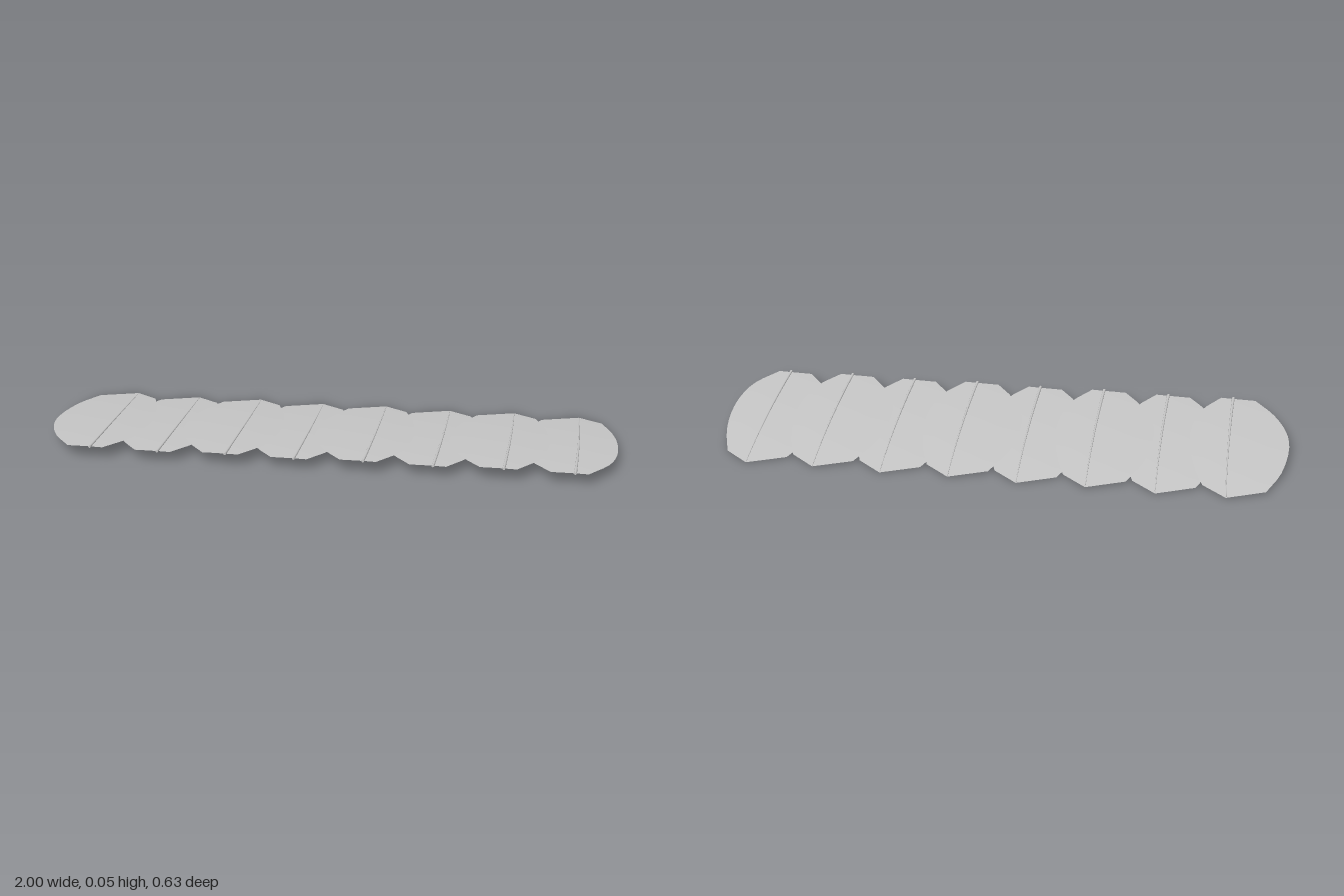
import * as THREE from 'three';

const COUNT = 8;

// Gentle fall of the row from front to back
const ridgeY = z => 0.033 + 0.06 * z - 0.067 * z * z;
// Slight sideways bend of the quill
const ridgeX = z => -0.022 * Math.pow(Math.max(0, (z + 0.317) / 0.617), 1.8);

// Vane edges as [x from the tip, z], back to front
const leftEdge = [[-0.134, -0.27], [-0.187, -0.158], [-0.217, 0], [-0.207, 0.1], [-0.167, 0.2], [-0.102, 0.29]];
const rightEdge = [[0.08, -0.255], [0.114, -0.135], [0.128, -0.02], [0.122, 0.1], [0.093, 0.2], [0.022, 0.297]];
const TIP_Z = -0.317;

function sampleEdge(points, n) {
  return new THREE.CatmullRomCurve3(points.map(([x, z]) => new THREE.Vector3(x, 0, z))).getPoints(n);
}

// Later feathers sit a little further forward, mostly at the tip
const slide = (z, i) => z + i * (0.003 - 0.0048 * z);

function vaneGeometry(i) {
  const rows = 15, cols = 6;
  const left = sampleEdge(leftEdge, rows);
  const right = sampleEdge(rightEdge, rows);
  const pos = [0, ridgeY(TIP_Z), slide(TIP_Z, i)];
  const index = [];
  for (let r = 0; r <= rows; r++) {
    const L = left[r], R = right[r];
    const midZ = (L.z + R.z) / 2, midX = ridgeX(midZ);
    for (let c = 0; c <= cols; c++) {
      const s = c / cols * 2 - 1, a = Math.abs(s);
      const E = s < 0 ? L : R;
      const x = midX + (E.x - midX) * a;
      const z = midZ + (E.z - midZ) * a;
      // Low crown: the edges droop below the quill
      pos.push(x, ridgeY(z) - 0.08 * x * x, slide(z, i));
    }
  }
  const id = (r, c) => 1 + r * (cols + 1) + c;
  for (let c = 0; c < cols; c++) index.push(0, id(0, c), id(0, c + 1));
  for (let r = 0; r < rows; r++) for (let c = 0; c < cols; c++) {
    const a = id(r, c), b = id(r, c + 1), d = id(r + 1, c), e = id(r + 1, c + 1);
    index.push(a, d, b, b, d, e);
  }
  const g = new THREE.BufferGeometry();
  g.setAttribute('position', new THREE.Float32BufferAttribute(pos, 3));
  g.setIndex(index);
  g.computeVertexNormals();
  return g;
}

// Tapered quill lying on the ridge, sinking into the vane towards the tip
function quillGeometry(i) {
  const g = new THREE.CylinderGeometry(0.005, 0.0015, 1, 8, 14);
  const p = g.attributes.position;
  for (let k = 0; k < p.count; k++) {
    const t = p.getY(k) + 0.5;
    const z = TIP_Z + 0.005 + t * 0.612;
    p.setXYZ(k, ridgeX(z) + p.getX(k), ridgeY(z) + 0.001 * t - p.getZ(k) * 0.8, slide(z, i));
  }
  g.computeVertexNormals();
  return g;
}

export function createModel() {
  const model = new THREE.Group();
  model.name = 'featherRow';
  const featherGrey = new THREE.MeshStandardMaterial({ color: 0xc8c8c8, side: THREE.DoubleSide });
  featherGrey.name = 'feather grey';

  // Overlapping feathers, alternately high and low
  for (let i = 0; i < COUNT; i++) {
    const feather = new THREE.Group();
    feather.name = 'feather' + (i + 1);
    const vane = new THREE.Mesh(vaneGeometry(i), featherGrey);
    vane.name = 'vane';
    const quill = new THREE.Mesh(quillGeometry(i), featherGrey);
    quill.name = 'quill';
    feather.add(vane, quill);
    feather.position.set(-0.783 + i * 0.236, i % 2 ? -0.004 : 0, 0);
    model.add(feather);
  }

  // Rest the lowest point on the ground
  const low = new THREE.Box3().setFromObject(model, true).min.y;
  model.children.forEach(f => { f.position.y -= low; });
  return model;
}
